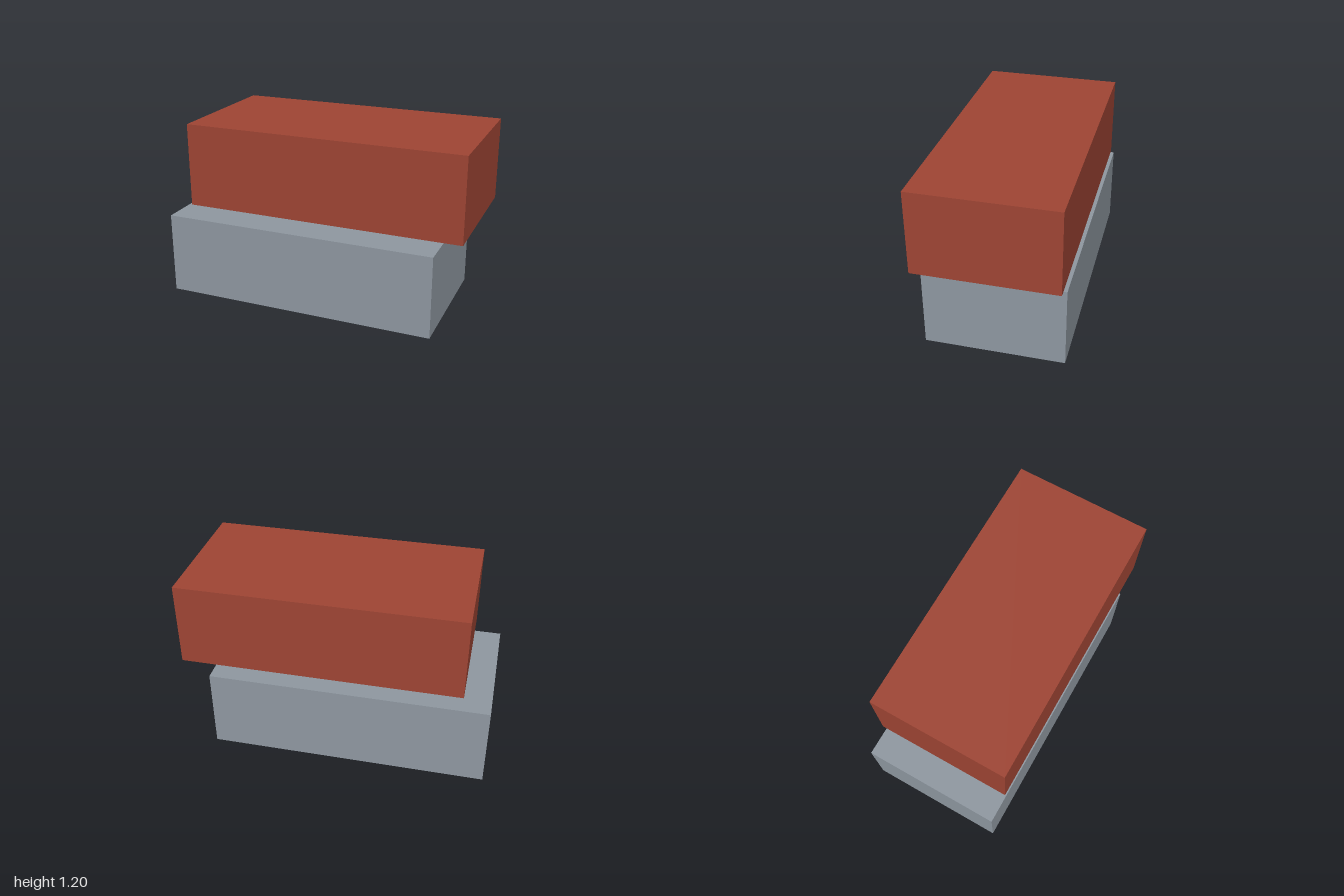
import * as THREE from 'three';
import { mergeGeometries } from 'three/addons/utils/BufferGeometryUtils.js';

const W = 1.826, H = 0.547, D = 0.91, WALL = 0.07;

// Five-sided box standing on y = 0 with an open bottom; inward turns its faces to the inside
function openBox(w, h, d, inward) {
  const box = new THREE.BoxGeometry(w, h, d).translate(0, h / 2, 0);
  const index = Array.from(box.index.array).filter((_, i) => i < 18 || i >= 24);
  if (inward) index.reverse();
  box.setIndex(index);
  const flat = box.toNonIndexed();
  flat.computeVertexNormals();
  return flat;
}

// Rectangle outline centred on the origin
function rectangle(PathType, w, d) {
  return new PathType([[-1, -1], [1, -1], [1, 1], [-1, 1]]
    .map(([x, y]) => new THREE.Vector2(x * w / 2, y * d / 2)));
}

// Hollow block: outer shell, inner cavity and the rim that joins them underneath
function hollowBlock() {
  const w = W - 2 * WALL, d = D - 2 * WALL;
  const rimShape = rectangle(THREE.Shape, W, D);
  rimShape.holes.push(rectangle(THREE.Path, w, d));
  const rim = new THREE.ShapeGeometry(rimShape).rotateX(Math.PI / 2).toNonIndexed();
  return mergeGeometries([openBox(W, H, D, false), openBox(w, H - WALL, d, true), rim]);
}

export function createModel() {
  const group = new THREE.Group();
  group.name = 'stackedHollowBlocks';
  const grey = new THREE.MeshStandardMaterial({ color: 0x8f98a1 });
  grey.name = 'slateGrey';
  const red = new THREE.MeshStandardMaterial({ color: 0x9f4534 });
  red.name = 'brickRed';

  const geometry = hollowBlock();
  const offset = 1 - W / 2;
  for (const [name, material, x, y] of [
    ['lowerBlock', grey, -offset, 0],
    ['upperBlock', red, offset, 0.65],
  ]) {
    const block = new THREE.Mesh(geometry, material);
    block.name = name;
    block.position.set(x, y, 0);
    group.add(block);
  }
  return group;
}
